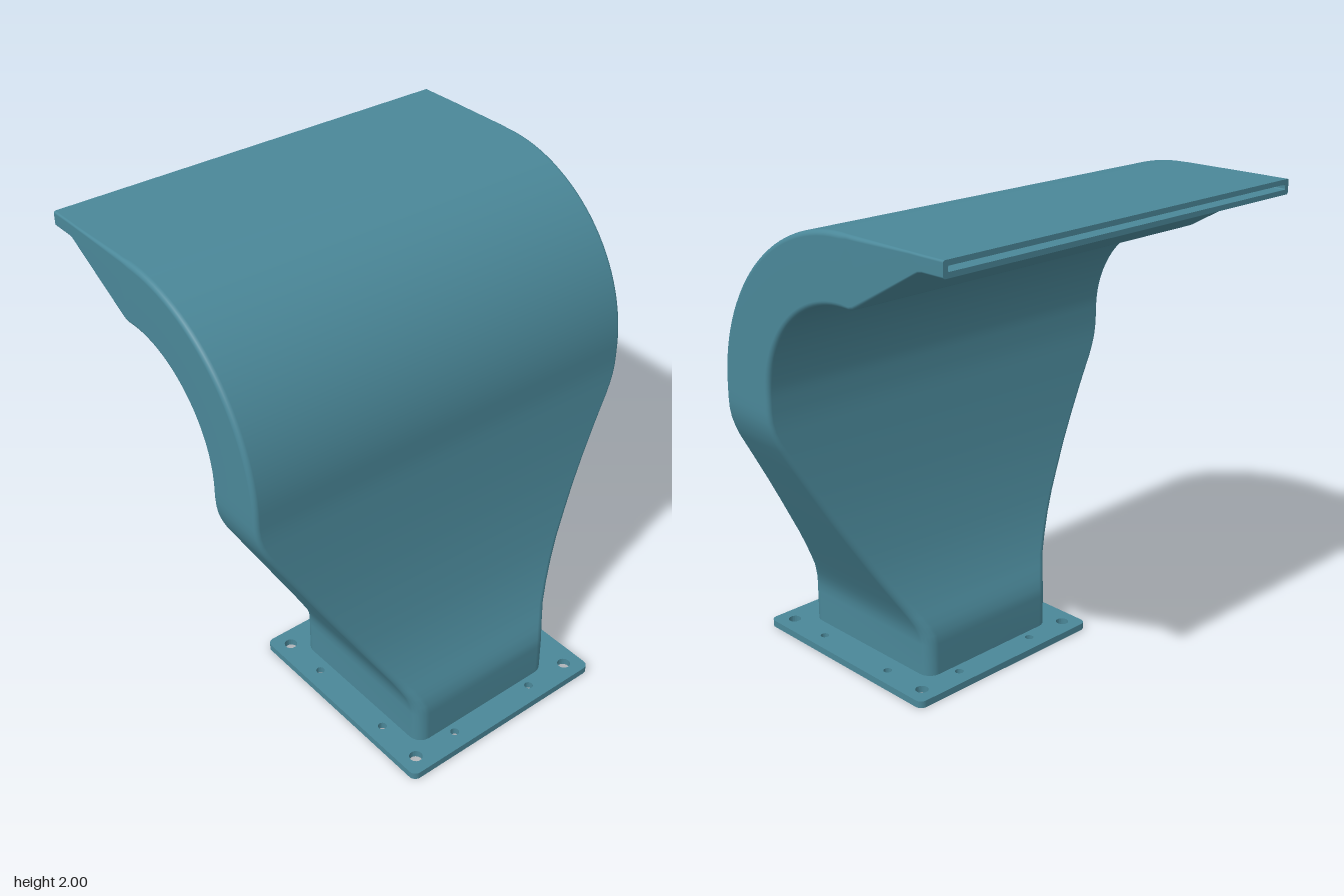
import * as THREE from 'three';

const WALL = 0.02;
const MID_Z = 0.29;

// Stations along the duct: outer edge and inner edge as [z, y], half width, corner radius
function makeStations() {
  const list = [];
  const add = (outer, inner, halfWidth, radius) => list.push({ outer, inner, halfWidth, radius });

  // straight neck and flared body: [y, half width, half depth, corner radius]
  const body = [
    [0.03, 0.35, 0.375, 0.055], [0.17, 0.35, 0.375, 0.055], [0.21, 0.354, 0.37, 0.055],
    [0.25, 0.366, 0.355, 0.053], [0.29, 0.385, 0.334, 0.05], [0.33, 0.406, 0.313, 0.05],
    [0.4, 0.447, 0.282, 0.045], [0.48, 0.494, 0.253, 0.042], [0.56, 0.541, 0.23, 0.04],
    [0.65, 0.595, 0.209, 0.037], [0.75, 0.654, 0.188, 0.034], [0.86, 0.718, 0.17, 0.03],
    [0.98, 0.789, 0.154, 0.027], [1.09, 0.854, 0.142, 0.024], [1.13, 0.873, 0.138, 0.022],
    [1.17, 0.888, 0.134, 0.02], [1.21, 0.897, 0.131, 0.02], [1.25, 0.9, 0.13, 0.02],
  ];
  for (const [y, w, d, r] of body) add([MID_Z + d, y], [MID_Z - d, y], w, r);

  // quarter bend towards the back
  for (let i = 0; i <= 28; i++) {
    const a = (i / 28) * Math.PI / 2;
    const at = (r) => [-0.28 + r * Math.cos(a), 1.3 + r * Math.sin(a)];
    add(at(0.7), at(0.44), 0.9, 0.02);
  }

  // tapering spout: flat top, sloping underside, thin lip
  const spout = [
    [-0.32, 1.742], [-0.34, 1.748], [-0.36, 1.759], [-0.63, 1.916],
    [-0.65, 1.928], [-0.665, 1.936], [-0.685, 1.94], [-0.785, 1.94],
  ];
  for (const [z, y] of spout) add([z, 2], [z, y], 0.9, y > 1.9 ? 0.008 : 0.015);
  return list;
}

// Rounded rectangle in the plane of a station, drawn in by inset
function sectionLoop({ outer, inner, halfWidth, radius }, inset) {
  const a = new THREE.Vector3(0, outer[1], outer[0]);
  const b = new THREE.Vector3(0, inner[1], inner[0]);
  const centre = a.clone().add(b).multiplyScalar(0.5);
  const depthDir = a.clone().sub(b).normalize();
  const hw = halfWidth - inset;
  const hd = a.distanceTo(b) / 2 - inset;
  const r = Math.min(Math.max(radius - inset, 0.005), hd * 0.9);
  const points = [];
  const corners = [[1, 1], [-1, 1], [-1, -1], [1, -1]];
  corners.forEach(([sx, sd], c) => {
    for (let k = 0; k <= 5; k++) {
      const t = (c + k / 5) * Math.PI / 2;
      const p = centre.clone().addScaledVector(depthDir, sd * (hd - r) + r * Math.sin(t));
      p.x = sx * (hw - r) + r * Math.cos(t);
      points.push(p);
    }
  });
  return points;
}

// Skin stretched over a row of closed loops
function loft(loops, flip) {
  const n = loops[0].length;
  const index = [];
  for (let i = 0; i < loops.length - 1; i++) {
    for (let j = 0; j < n; j++) {
      const k = (j + 1) % n;
      const [a, b, c, d] = [i * n + j, (i + 1) * n + j, (i + 1) * n + k, i * n + k];
      if (flip) index.push(a, c, b, a, d, c);
      else index.push(a, b, c, a, c, d);
    }
  }
  const geometry = new THREE.BufferGeometry().setFromPoints(loops.flat());
  geometry.setIndex(index);
  geometry.computeVertexNormals();
  return geometry;
}

// Flat mounting plate with duct opening and bolt holes
function flangeGeometry(opening) {
  const [x0, x1, z0, z1, r] = [-0.47, 0.5, -0.2, 0.78, 0.03];
  const shape = new THREE.Shape();
  shape.absarc(x1 - r, -z0 - r, r, 0, Math.PI / 2);
  shape.absarc(x0 + r, -z0 - r, r, Math.PI / 2, Math.PI);
  shape.absarc(x0 + r, -z1 + r, r, Math.PI, Math.PI * 1.5);
  shape.absarc(x1 - r, -z1 + r, r, Math.PI * 1.5, Math.PI * 2);
  shape.closePath();
  shape.holes.push(new THREE.Path(opening.map((p) => new THREE.Vector2(p.x, -p.z))));

  const hole = (x, z, radius) => {
    const path = new THREE.Path();
    path.absarc(x, -z, radius, 0, Math.PI * 2, true);
    shape.holes.push(path);
  };
  const cx = 0.0135;
  for (const s of [-1, 1]) {
    for (const t of [-1, 1]) {
      hole(cx + s * 0.412, MID_Z + t * 0.415, 0.027);
      hole(cx + s * 0.206, MID_Z + t * 0.415, 0.018);
      hole(cx + s * 0.412, MID_Z + t * 0.206, 0.018);
    }
  }
  const geometry = new THREE.ExtrudeGeometry(shape, { depth: 0.03, bevelEnabled: false, curveSegments: 10 });
  return geometry.rotateX(-Math.PI / 2);
}

export function createModel() {
  const group = new THREE.Group();
  group.name = 'waterSpout';
  const teal = new THREE.MeshStandardMaterial({ color: 0x4a8798 });
  teal.name = 'teal';

  const addPart = (name, geometry) => {
    const mesh = new THREE.Mesh(geometry, teal);
    mesh.name = name;
    group.add(mesh);
  };

  const stations = makeStations();
  const outside = stations.map((s) => sectionLoop(s, 0));
  const inside = stations.map((s) => sectionLoop(s, WALL));

  addPart('ductOuterSkin', loft(outside, false));
  addPart('ductInnerSkin', loft(inside, true));
  // rim around the outlet slot
  addPart('outletRim', loft([outside.at(-1), inside.at(-1)], false));
  addPart('mountingFlange', flangeGeometry(inside[0]));
  return group;
}
